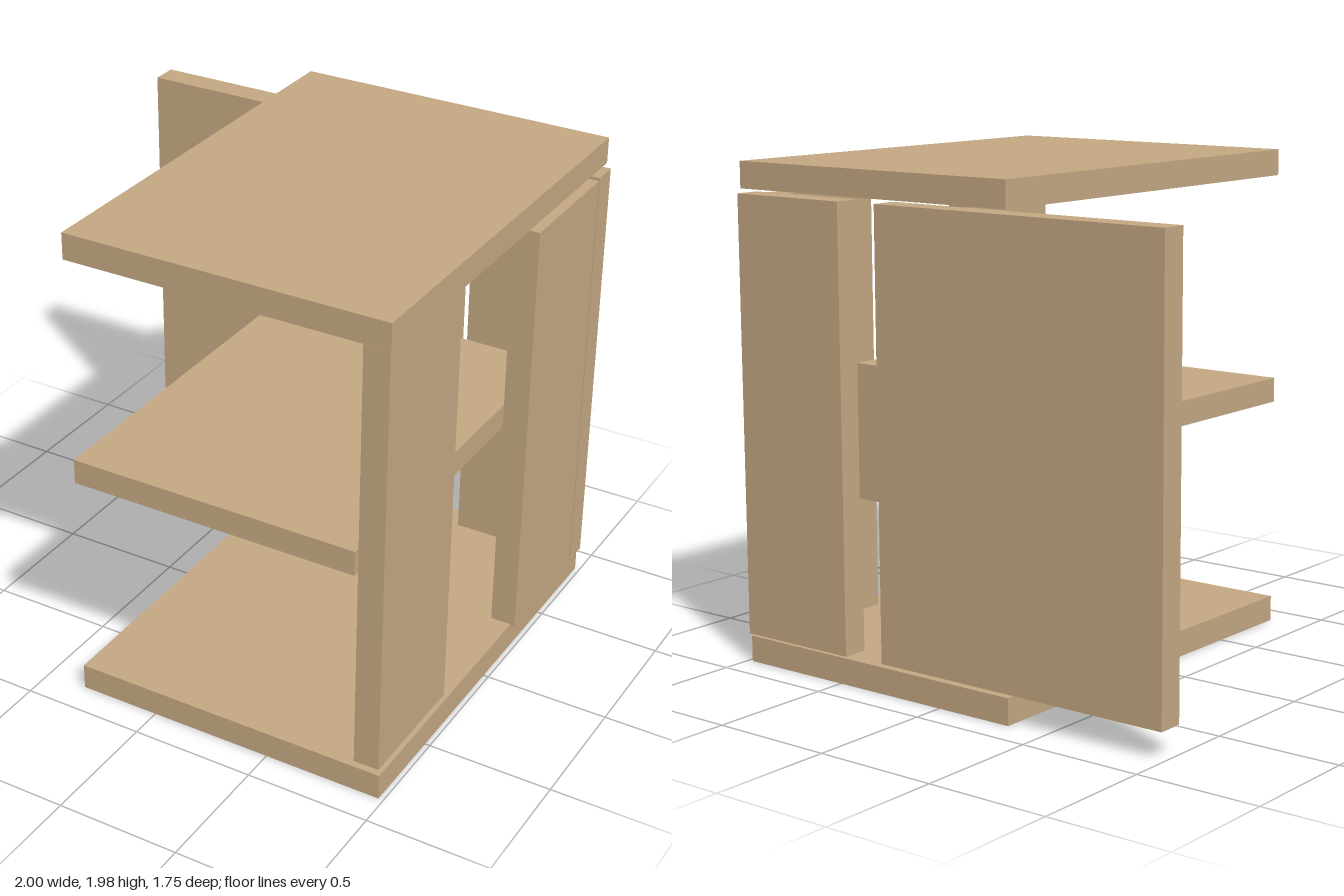
import * as THREE from 'three';

// Shelf cabinet made of plain boards, each given as [min, max] per axis
const boards = {
  topBoard: [[-0.33, 0.98], [1.875, 1.98], [-0.87, 0.875]],
  bottomBoard: [[-0.33, 0.98], [0, 0.105], [-0.875, 0.87]],
  middleShelf: [[-0.335, 0.855], [0.94, 1.04], [-0.72, 0.862]],
  frontSidePanel: [[0.865, 0.968], [0.118, 1.862], [0.33, 0.855]],
  rearSidePanel: [[0.895, 0.998], [0.1, 1.847], [-0.757, -0.232]],
  narrowBackPanel: [[0.475, 0.997], [0.11, 1.855], [-0.87, -0.767]],
  wideBackPanel: [[-1, 0.305], [0.11, 1.855], [-0.855, -0.75]],
  backBlock: [[0.325, 0.43], [0.73, 1.25], [-0.825, -0.722]],
};

export function createModel() {
  const group = new THREE.Group();
  group.name = 'shelfCabinet';
  const wood = new THREE.MeshStandardMaterial({ color: 0xc4a882 });
  for (const [name, ranges] of Object.entries(boards)) {
    const size = ranges.map(([a, b]) => b - a);
    const centre = ranges.map(([a, b]) => (a + b) / 2);
    const board = new THREE.Mesh(new THREE.BoxGeometry(...size), wood);
    board.name = name;
    board.position.set(...centre);
    group.add(board);
  }
  return group;
}
